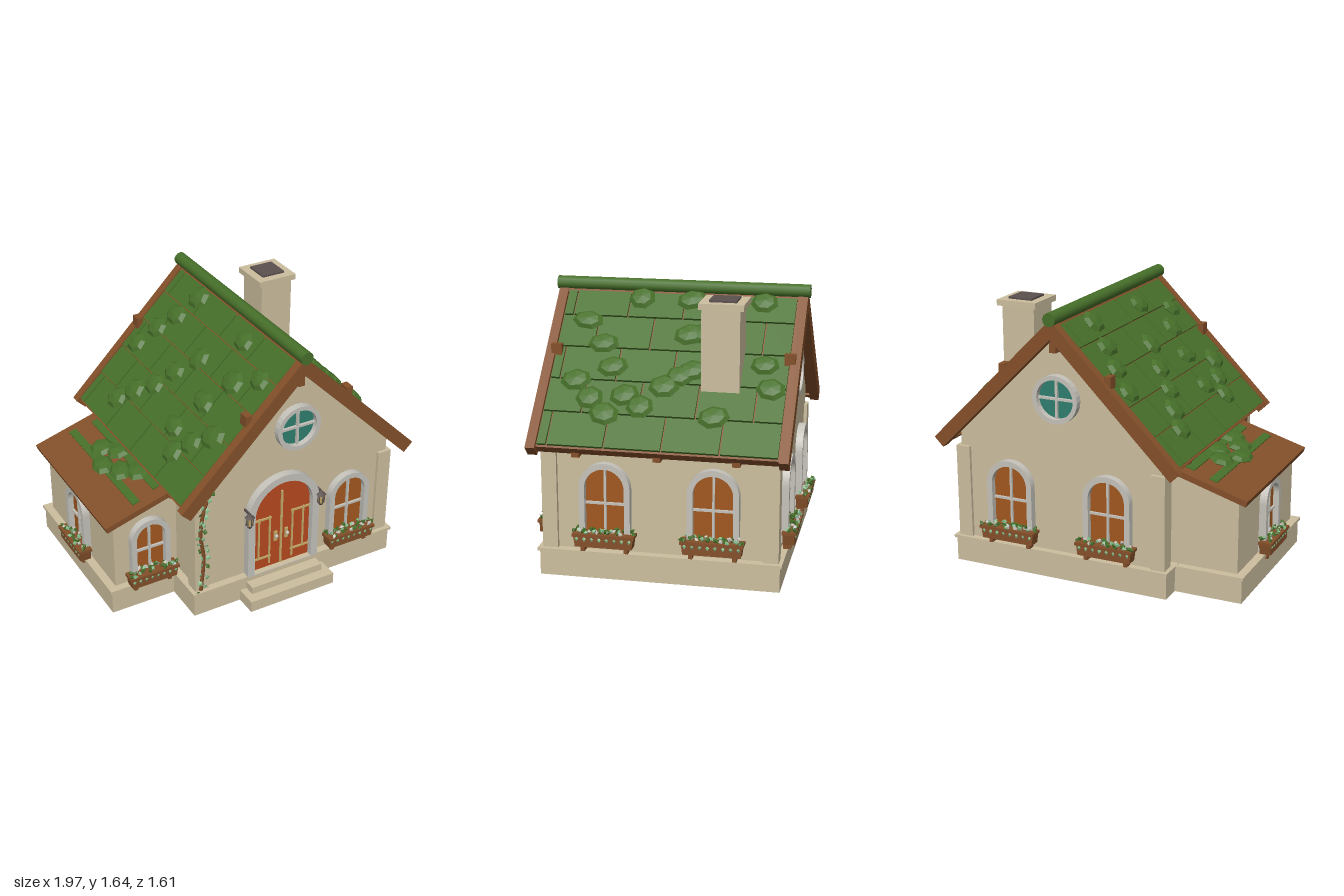
import * as THREE from 'three';

const mat = (name, color) => {
  const m = new THREE.MeshStandardMaterial({ color });
  m.name = name;
  return m;
};
const M = {
  plaster: mat('plaster', 0xcdbf9f), wood: mat('wood', 0x84502a), moss: mat('moss green', 0x47702a),
  door: mat('door red', 0xb84a1f), pane: mat('amber pane', 0xa2581f), teal: mat('teal glass', 0x2f8070),
  stone: mat('pale stone', 0xc6c3bb), dark: mat('dark iron', 0x5c5250), mint: mat('pale leaf', 0x86bd8c),
  brass: mat('brass', 0xc8ae6c),
};

let seed = 7;
const rand = (a = 0, b = 1) => {
  seed = (seed * 16807) % 2147483647;
  return a + (b - a) * seed / 2147483647;
};

function add(parent, name, geo, material, x = 0, y = 0, z = 0) {
  const m = new THREE.Mesh(geo, material);
  m.name = name;
  m.position.set(x, y, z);
  parent.add(m);
  return m;
}
// Box given by its min and max on each axis
const box = (parent, name, material, x0, x1, y0, y1, z0, z1) =>
  add(parent, name, new THREE.BoxGeometry(x1 - x0, y1 - y0, z1 - z0), material, (x0 + x1) / 2, (y0 + y1) / 2, (z0 + z1) / 2);
const group = (parent, name, x = 0, y = 0, z = 0, ry = 0) => {
  const g = new THREE.Group();
  g.name = name;
  g.position.set(x, y, z);
  g.rotation.y = ry;
  parent.add(g);
  return g;
};
const extrude = (shape, depth, z0 = 0) =>
  new THREE.ExtrudeGeometry(shape, { depth, bevelEnabled: false, curveSegments: 14 }).translate(0, 0, z0);
const poly = pts => new THREE.Shape(pts.map(p => new THREE.Vector2(...p)));
const flat = geo => {
  const g = geo.index ? geo.toNonIndexed() : geo;
  g.computeVertexNormals();
  return g;
};

// Round-topped outline
function arch(hw, y0, top, Type = THREE.Shape) {
  const s = new Type();
  s.moveTo(-hw, y0);
  s.lineTo(hw, y0);
  s.lineTo(hw, top - hw);
  s.absarc(0, top - hw, hw, 0, Math.PI, false);
  s.closePath();
  return s;
}
function surround(parent, hw, t, y0, top, depth) {
  const s = arch(hw, y0, top);
  s.holes.push(arch(hw - t, y0 + 0.005, top - t, THREE.Path));
  add(parent, 'archSurround', extrude(s, depth), M.stone);
}

const leafGeo = flat(new THREE.OctahedronGeometry(1, 0));
function leaf(parent, name, material, x, y, z, sx, sy, sz, wild = 0.6) {
  const m = add(parent, name, leafGeo, material, x, y, z);
  m.scale.set(sx, sy, sz);
  m.rotation.set(rand(-wild, wild), rand(-wild, wild), rand(-wild, wild));
}

// Planter hung under a window, filled with foliage
function flowerBox(parent, hw, y0) {
  const g = group(parent, 'flowerBox', 0, y0, 0);
  const s = poly([[-hw + 0.015, 0], [hw - 0.015, 0], [hw - 0.005, 0.07], [-hw + 0.005, 0.07]]);
  add(g, 'planterBody', extrude(s, 0.07, 0.015), M.wood);
  box(g, 'planterRim', M.wood, -hw, hw, 0.062, 0.08, 0.01, 0.095);
  for (const x of [-hw * 0.7, hw * 0.7]) box(g, 'planterFoot', M.wood, x - 0.012, x + 0.012, -0.035, 0, 0.015, 0.06);
  for (let i = 0; i < 30; i++) {
    const x = -hw + 0.01 + (i / 29) * (2 * hw - 0.02);
    leaf(g, 'foliage', [M.moss, M.moss, M.mint, M.stone][i % 4], x, rand(0.082, 0.105), rand(0.02, 0.09), 0.02, 0.014, 0.013, 1);
  }
  for (let i = 0; i < 8; i++) leaf(g, 'trailingLeaf', M.mint, -hw * 0.85 + i * hw * 0.243, 0.05, 0.09, 0.011, 0.016, 0.005, 0.25);
}

// Arched window facing +z with its wall at z = 0
function archWindow(parent, x, z, ry, hw, y0, top, boxHw, boxY) {
  const g = group(parent, 'archedWindow', x, 0, z, ry), t = 0.034;
  surround(g, hw, t, y0, top, 0.045);
  add(g, 'windowPane', extrude(arch(hw - t, y0 + 0.005, top - t), 0.008), M.pane);
  const y = y0 + (top - y0) * 0.5;
  box(g, 'mullion', M.stone, -0.007, 0.007, y0, top - t, 0.006, 0.022);
  box(g, 'transom', M.stone, -hw + t, hw - t, y - 0.007, y + 0.007, 0.006, 0.022);
  flowerBox(g, boxHw, boxY);
}

function roundWindow(parent, x, y, z, ry) {
  const g = group(parent, 'roundWindow', x, y, z, ry);
  const s = new THREE.Shape().absarc(0, 0, 0.145, 0, Math.PI * 2);
  s.holes.push(new THREE.Path().absarc(0, 0, 0.118, 0, Math.PI * 2));
  add(g, 'roundFrame', extrude(s, 0.045), M.stone);
  add(g, 'roundGlass', new THREE.CircleGeometry(0.12, 28), M.teal, 0, 0, 0.008);
  box(g, 'mullion', M.stone, -0.007, 0.007, -0.12, 0.12, 0.006, 0.025);
  box(g, 'transom', M.stone, -0.12, 0.12, -0.007, 0.007, 0.006, 0.025);
}

function lantern(parent, x) {
  const g = group(parent, 'lantern', x, 0.585, 0.7);
  add(g, 'lanternGlass', new THREE.CylinderGeometry(0.022, 0.016, 0.06, 6), M.brass);
  add(g, 'lanternCap', new THREE.ConeGeometry(0.032, 0.03, 6), M.dark, 0, 0.044, 0);
  add(g, 'lanternBase', new THREE.CylinderGeometry(0.018, 0.01, 0.016, 6), M.dark, 0, -0.037, 0);
  for (let i = 0; i < 6; i++) {
    const a = i * Math.PI / 3;
    add(g, 'lanternRib', new THREE.BoxGeometry(0.005, 0.06, 0.005), M.dark, Math.sin(a) * 0.02, 0, Math.cos(a) * 0.02);
  }
  box(g, 'lanternArm', M.dark, -0.006, 0.006, 0.045, 0.058, -0.06, 0);
}

const clumpGeo = flat(new THREE.SphereGeometry(1, 7, 4));
function clump(parent, x, y, z) {
  const m = add(parent, 'mossClump', clumpGeo, M.moss, x, y, z);
  m.scale.set(rand(0.065, 0.08), 0.028, rand(0.08, 0.1));
  m.rotation.y = rand(-0.3, 0.3);
}

// One roof slope; local +x runs down from the ridge
function roofSlope(parent, side, clumps) {
  const g = group(parent, 'roofSlope', 0.2, 1.59, -0.03);
  g.rotation.set(0, side > 0 ? 0 : Math.PI, -Math.PI / 4);
  const L = 1.124;
  box(g, 'roofDeck', M.wood, 0, L - 0.03, -0.055, -0.014, -0.7, 0.7);
  box(g, 'eaveFascia', M.wood, L - 0.05, L - 0.02, -0.07, -0.012, -0.7, 0.7);
  for (const z of [-0.72, 0.72]) box(g, 'bargeboard', M.wood, 0, L, -0.075, 0.006, z - 0.028, z + 0.028);
  // Staggered tiles
  const rows = 5, rl = (L - 0.03) / rows, tw = 0.33;
  for (let r = 0; r < rows; r++) {
    for (let z = -0.69 - (r % 2 ? tw / 2 : 0); z < 0.69; z += tw) {
      const a = Math.max(z, -0.69), b = Math.min(z + tw, 0.69);
      if (b - a < 0.03) continue;
      const t = box(g, 'roofTile', M.moss, r * rl + 0.003, (r + 1) * rl - 0.003, -0.016, 0.002, a + 0.005, b - 0.005);
      t.rotation.z = 0.03;
    }
  }
  for (const [x, z] of clumps) clump(g, side * (x - 0.2) * Math.SQRT2, 0.006, side * (z + 0.03));
}

function vine(parent) {
  const g = group(parent, 'climbingVine');
  const pts = [[-0.45, 0.17], [-0.43, 0.4], [-0.45, 0.58], [-0.42, 0.76], [-0.33, 0.95], [-0.2, 1.1], [-0.07, 1.2]];
  const c = new THREE.CatmullRomCurve3(pts.map(([x, y]) => new THREE.Vector3(x, y, 0.662)));
  add(g, 'vineStem', new THREE.TubeGeometry(c, 40, 0.012, 6), M.wood);
  for (let i = 0; i < 44; i++) {
    const p = c.getPoint(i / 43), s = i % 2 ? 1 : -1;
    leaf(g, 'vineLeaf', i % 5 ? M.mint : M.moss, p.x + s * rand(0.008, 0.028), p.y + rand(-0.01, 0.01), 0.674, 0.017, 0.019, 0.006, 0.7);
  }
}

export function createModel() {
  const root = new THREE.Group();
  root.name = 'cottage';

  // Foundations and steps
  box(root, 'foundation', M.plaster, -0.5, 0.9, 0, 0.15, -0.73, 0.675);
  box(root, 'foundationLip', M.plaster, -0.51, 0.912, 0.148, 0.166, -0.742, 0.687);
  box(root, 'annexFoundation', M.plaster, -0.915, -0.45, 0, 0.149, -0.6, 0.41);
  box(root, 'annexFoundationLip', M.plaster, -0.926, -0.45, 0.147, 0.165, -0.611, 0.421);
  box(root, 'lowerStep', M.plaster, -0.185, 0.402, 0, 0.073, 0.6, 0.81);
  box(root, 'upperStep', M.plaster, -0.14, 0.355, 0, 0.12, 0.6, 0.745);

  // Walls and corner pilasters
  add(root, 'gableWalls', extrude(poly([[-0.46, 0.15], [0.86, 0.15], [0.86, 0.87], [0.2, 1.53], [-0.46, 0.87]]), 1.34, -0.7), M.plaster);
  for (const x of [-0.44, 0.84]) for (const z of [-0.675, 0.615])
    box(root, 'cornerPilaster', M.plaster, x - 0.045, x + 0.045, 0.15, 0.745, z - 0.045, z + 0.045);
  add(root, 'annexWalls', extrude(poly([[-0.875, 0.15], [-0.45, 0.15], [-0.45, 0.75], [-0.875, 0.626]]), 0.94, -0.565), M.plaster);

  // Main roof
  roofSlope(root, 1, [[0.38, 0.5], [0.49, 0.38], [0.6, 0.3], [0.67, 0.5], [0.75, 0.4], [0.82, 0.3], [0.73, 0.2], [0.78, 0.1],
    [0.68, -0.02], [0.43, -0.12], [0.6, -0.17], [0.63, -0.1], [0.42, -0.2], [0.81, -0.33], [0.56, -0.58], [0.67, -0.63], [0.26, 0.2], [0.26, -0.1], [0.26, -0.53]]);
  roofSlope(root, -1, [[-0.21, -0.61], [-0.1, -0.54], [0, -0.46], [0.12, -0.39], [-0.45, -0.42], [-0.37, -0.33], [-0.29, -0.21],
    [-0.19, -0.13], [-0.08, -0.02], [0.1, 0.2], [-0.2, 0.25], [-0.44, 0.31], [-0.36, 0.39], [-0.28, 0.51], [-0.06, 0.35], [0.02, 0.52], [-0.36, 0.18]]);
  add(root, 'ridgeRoll', new THREE.CylinderGeometry(0.04, 0.04, 1.52, 14).rotateX(Math.PI / 2), M.moss, 0.2, 1.6, -0.03);
  for (const z of [0.65, -0.72]) {
    for (const x of [-0.145, 0.535]) box(root, 'purlinEnd', M.wood, x - 0.02, x + 0.02, 1.2, 1.3, z - 0.032, z + 0.032);
    box(root, 'ridgeBeamEnd', M.wood, 0.18, 0.22, 1.4, 1.49, z - 0.032, z + 0.032);
  }
  for (const z of [0.44, -0.03, -0.48]) for (const x of [-0.495, 0.895])
    box(root, 'rafterTail', M.wood, x - 0.045, x + 0.045, 0.74, 0.79, z - 0.022, z + 0.022);

  // Annex lean-to roof with moss
  add(root, 'annexRoof', extrude(poly([[-0.93, 0.6], [-0.45, 0.742], [-0.45, 0.778], [-0.942, 0.634]]), 1.03, -0.61), M.wood);
  const am = group(root, 'annexMoss', -0.71, 0.703, -0.09);
  am.rotation.z = 0.285;
  box(am, 'mossStrip', M.moss, -0.025, 0.025, -0.006, 0.006, -0.46, 0.45);
  box(am, 'mossStrip', M.moss, 0.13, 0.2, -0.006, 0.006, -0.44, 0.42);
  for (const [x, z] of [[0.07, -0.16], [0, -0.01], [0.06, 0.12], [0.13, -0.05], [0.14, 0.2]]) clump(am, x, 0.006, z);

  // Chimney
  box(root, 'chimneyStack', M.plaster, 0.48, 0.692, 1.0, 1.575, -0.455, -0.235);
  box(root, 'chimneyCap', M.plaster, 0.455, 0.715, 1.57, 1.606, -0.48, -0.22);
  box(root, 'chimneyFlue', M.dark, 0.508, 0.662, 1.6, 1.618, -0.43, -0.272);

  // Double front door
  const d = group(root, 'frontDoor', 0.107, 0, 0.64);
  surround(d, 0.247, 0.047, 0.16, 0.825, 0.05);
  add(d, 'doorLeaves', extrude(arch(0.2, 0.165, 0.778), 0.012), M.door);
  box(d, 'doorSeam', M.brass, -0.006, 0.006, 0.17, 0.7, 0.01, 0.022);
  for (const s of [-1, 1]) {
    const bar = (name, x, w, y0, y1) => box(d, name, M.brass, s * x - w / 2, s * x + w / 2, y0, y1, 0.01, 0.02);
    for (const y of [0.245, 0.53]) bar('hingeStrap', 0.135, 0.13, y - 0.006, y + 0.006);
    bar('doorBatten', 0.08, 0.01, 0.19, 0.54);
    bar('doorBatten', 0.155, 0.01, 0.24, 0.54);
    bar('handlePlate', 0.038, 0.022, 0.345, 0.415);
    add(d, 'doorKnob', new THREE.SphereGeometry(0.012, 10, 8), M.stone, s * 0.038, 0.385, 0.03);
  }
  for (const x of [-0.14, 0.357]) lantern(root, x);

  // Windows
  archWindow(root, 0.58, 0.64, 0, 0.142, 0.2, 0.68, 0.168, 0.195);
  archWindow(root, -0.65, 0.375, 0, 0.128, 0.17, 0.597, 0.162, 0.165);
  archWindow(root, -0.875, -0.09, -Math.PI / 2, 0.128, 0.17, 0.597, 0.162, 0.165);
  for (const z of [0.285, -0.345]) archWindow(root, 0.86, z, Math.PI / 2, 0.15, 0.21, 0.7, 0.182, 0.205);
  for (const x of [-0.125, 0.515]) archWindow(root, x, -0.7, Math.PI, 0.15, 0.21, 0.7, 0.182, 0.205);
  roundWindow(root, 0.197, 1.12, 0.64, 0);
  roundWindow(root, 0.197, 1.12, -0.7, Math.PI);

  vine(root);
  return root;
}
